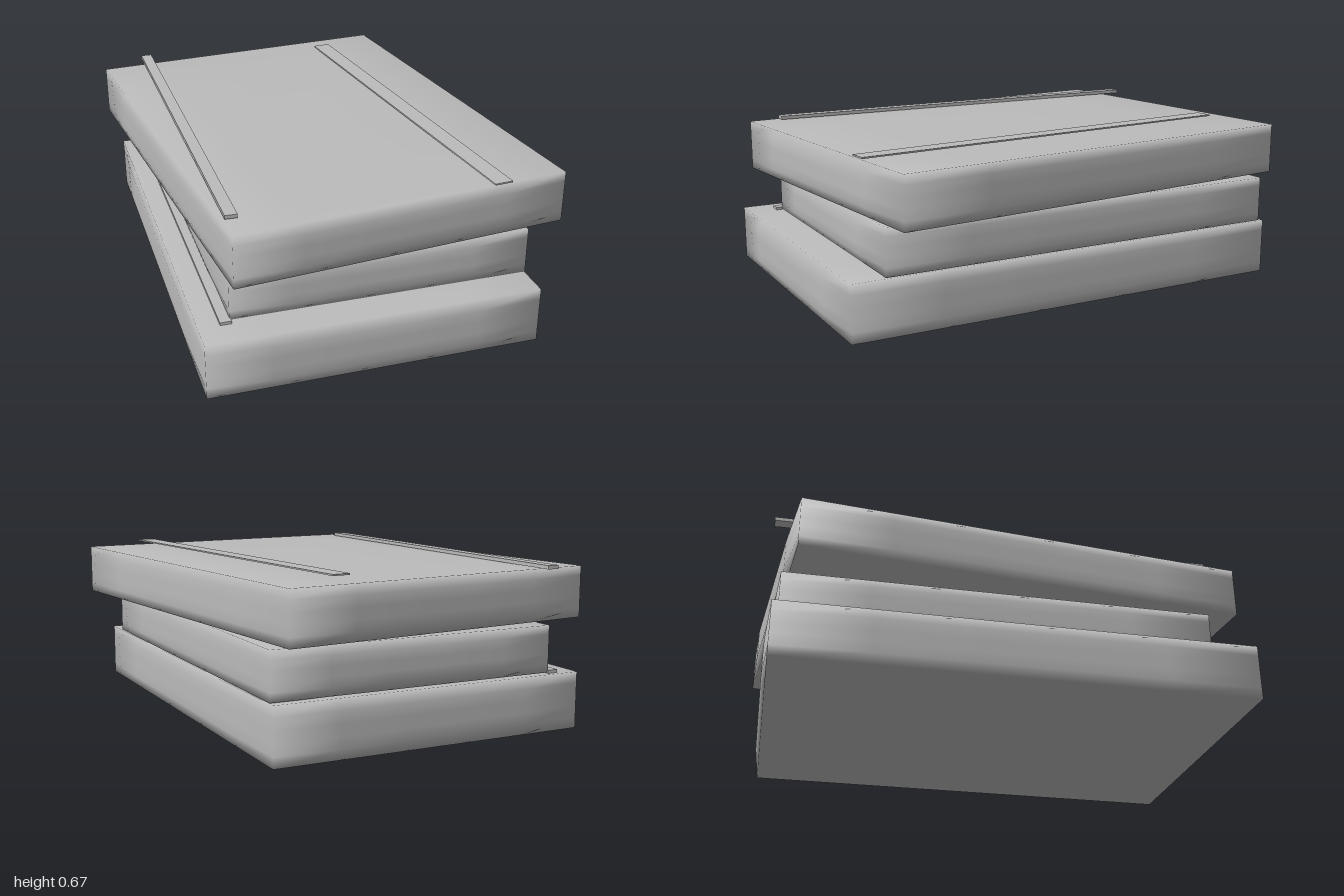
import * as THREE from 'three';
import { mergeVertices } from 'three/addons/utils/BufferGeometryUtils.js';

// Soft slab: a welded, segmented box whose edge rows are drawn slightly inwards
function softSlab(w, h, d) {
  const box = new THREE.BoxGeometry(w, h, d, 5, 5, 5);
  box.deleteAttribute('uv');
  box.deleteAttribute('normal');
  const geo = mergeVertices(box, 1e-4);
  const p = geo.attributes.position;
  const half = [w / 2, h / 2, d / 2];
  const inset = [0.009, 0.005, 0.016];
  for (let i = 0; i < p.count; i++) {
    const v = [p.getX(i), p.getY(i), p.getZ(i)];
    const outer = v.map((c, k) => Math.abs(c) > half[k] - 1e-4);
    if (outer.filter(Boolean).length > 1) {
      const q = v.map((c, k) => (outer[k] ? c - Math.sign(c) * inset[k] : c));
      p.setXYZ(i, q[0], q[1], q[2]);
    }
  }
  geo.computeVertexNormals();
  return geo;
}

export function createModel() {
  const model = new THREE.Group();
  model.name = 'bookStack';
  const grey = new THREE.MeshStandardMaterial({ color: 0xbbbbbb });
  grey.name = 'plain grey';

  function add(name, geo, x, y, z, turn = 0) {
    const mesh = new THREE.Mesh(geo, grey);
    mesh.name = name;
    mesh.position.set(x, y, z);
    mesh.rotation.y = turn;
    model.add(mesh);
  }

  // Three books, the top one turned
  add('bottomBook', softSlab(1.35, 0.24, 1.955), -0.04, 0.12, 0.022);
  add('middleBook', softSlab(1.225, 0.2, 1.79), 0.022, 0.333, -0.035);
  add('topBook', softSlab(1.385, 0.22, 1.87), 0, 0.545, -0.015, 0.1);

  // Narrow spine strips and a page marker
  add('bottomStrip', new THREE.BoxGeometry(0.045, 0.014, 1.79), -0.6, 0.241, -0.025);
  add('spineStrip', new THREE.BoxGeometry(0.048, 0.015, 1.795), -0.56, 0.662, -0.057);
  add('pageMarker', new THREE.BoxGeometry(0.075, 0.006, 1.74), 0.395, 0.667, 0.02, 0.1);
  return model;
}
